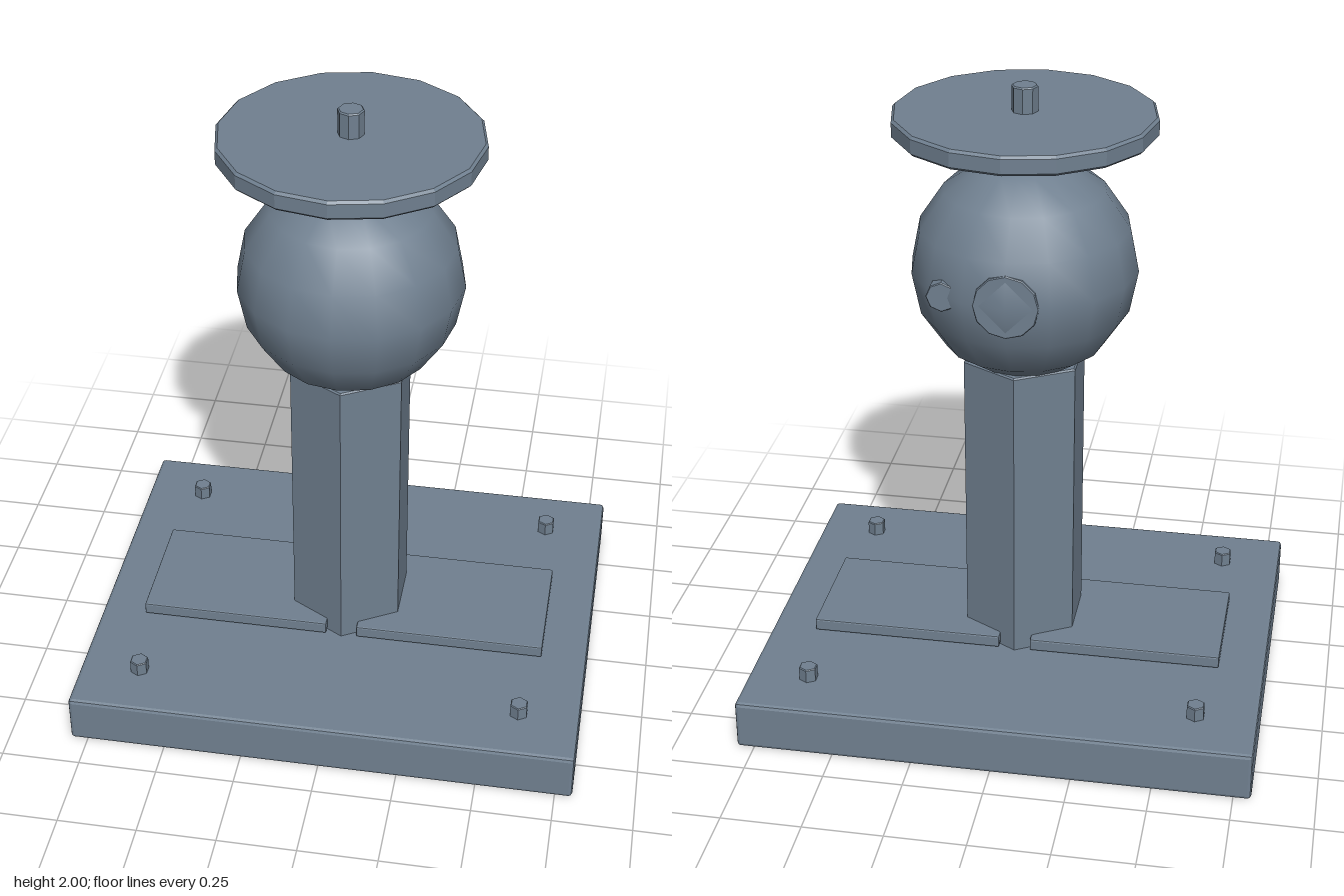
import * as THREE from 'three';
import { RoundedBoxGeometry } from 'three/addons/geometries/RoundedBoxGeometry.js';

// Split the faces so every facet is shaded flat
function faceted(geometry) {
  const g = geometry.index ? geometry.toNonIndexed() : geometry;
  g.computeVertexNormals();
  return g;
}

// Box with a narrow chamfer on every edge
const chamferBox = (w, h, d, c) => faceted(new RoundedBoxGeometry(w, h, d, 1, c));

// Upright prism with chamfered rims, resting on y = 0
function chamferPrism(r, h, sides, c) {
  const profile = [[0, 0], [r - c, 0], [r, c], [r, h - c], [r - c, h], [0, h]];
  return faceted(new THREE.LatheGeometry(profile.map(([x, y]) => new THREE.Vector2(x, y)), sides));
}

export function createModel() {
  const model = new THREE.Group();
  const slate = new THREE.MeshStandardMaterial({ color: 0x708090 });
  slate.name = 'slate';

  const add = (name, geometry, x, y, z) => {
    const mesh = new THREE.Mesh(geometry, slate);
    mesh.name = name;
    mesh.position.set(x, y, z);
    model.add(mesh);
    return mesh;
  };

  // Base slab with two raised plates and four corner bolts
  add('base', chamferBox(1.61, 0.16, 1.29, 0.012), 0, 0.08, 0);
  for (const side of [-1, 1]) {
    add('basePlate', chamferBox(0.61, 0.04, 0.4, 0.005), side * 0.355, 0.185, 0);
    for (const end of [-1, 1]) {
      add('bolt', chamferPrism(0.03, 0.06, 6, 0.003), side * 0.613, 0.145, end * 0.465);
    }
  }

  // Hexagonal column and the globe on it
  add('column', chamferPrism(0.2, 0.985, 6, 0.005), 0, 0.15, 0);
  add('globe', new THREE.SphereGeometry(0.35, 16, 8), 0, 1.43, 0);

  // Round inlays almost flush with the back of the globe
  add('backInlay', chamferPrism(0.1, 0.05, 12, 0.003), 0, 1.43, -0.284).rotation.x = -Math.PI / 2;
  add('sideInlay', chamferPrism(0.047, 0.05, 8, 0.003), 0.2, 1.43, -0.242).rotation.x = -Math.PI / 2;

  // Floating disc with its pin
  add('disc', chamferPrism(0.4, 0.06, 16, 0.008), 0, 1.86, 0);
  add('pin', chamferPrism(0.04, 0.09, 8, 0.004), 0, 1.91, 0);

  return model;
}
